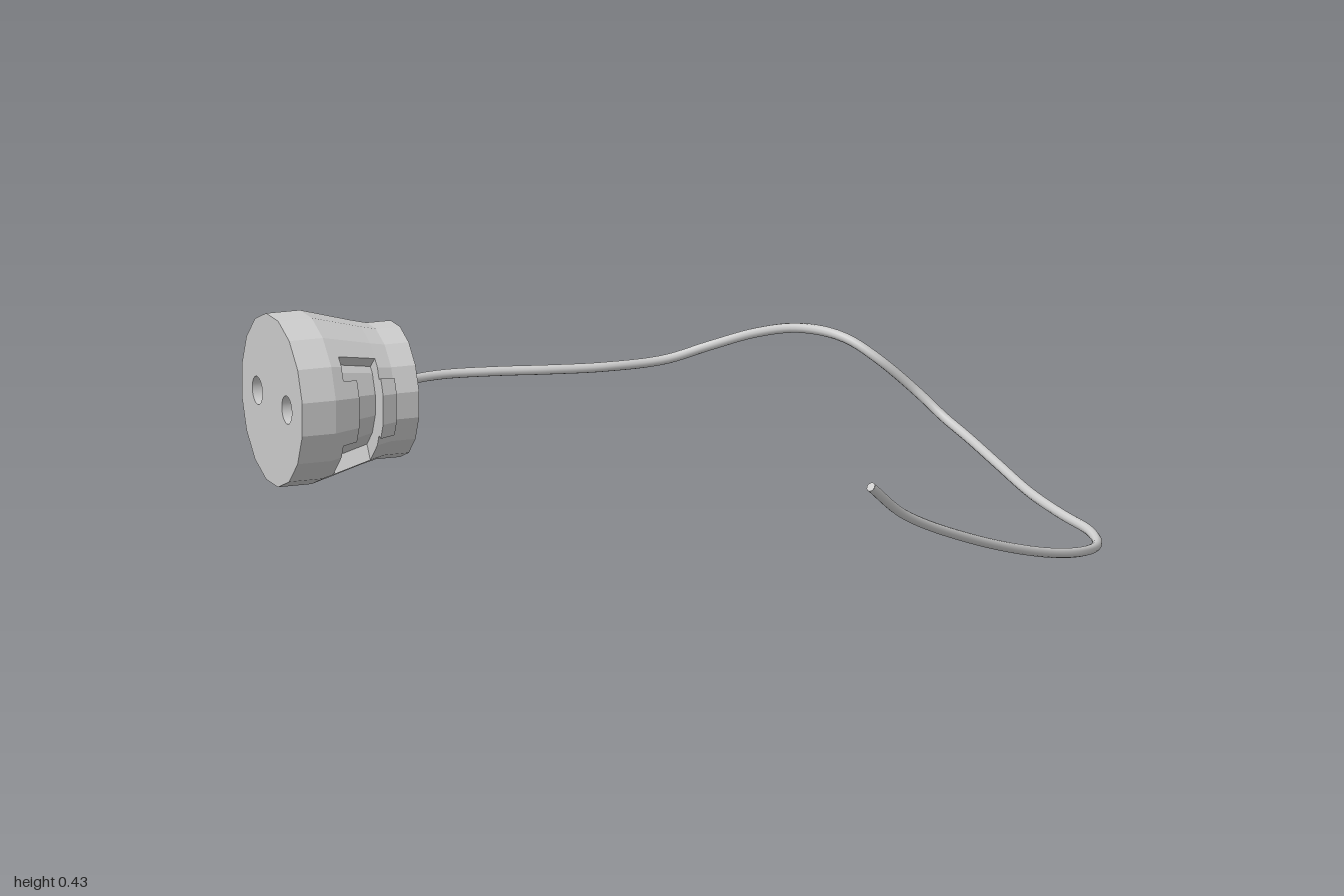
import * as THREE from 'three';

const CY = 0.216, CZ = -0.785, SIDES = 16, STEP = (Math.PI * 2) / SIDES;
const rad = THREE.MathUtils.degToRad;
const flat = new THREE.MeshStandardMaterial({ color: 0xcccccc, flatShading: true });
const smooth = new THREE.MeshStandardMaterial({ color: 0xcccccc });
const inside = new THREE.MeshStandardMaterial({ color: 0xcccccc, side: THREE.DoubleSide });

// Radius of the tapered body along x
function bodyRadius(x) {
  const t = THREE.MathUtils.clamp((x + 0.77) / 0.17, 0, 1);
  return THREE.MathUtils.lerp(0.219, 0.172, t);
}

// Keeps points between the corners on the flat sides of the polygon
function facet(a) {
  const d = THREE.MathUtils.euclideanModulo(a - STEP / 2, STEP) - STEP / 2;
  return Math.cos(STEP / 2) / Math.cos(d);
}

// Height offset of a body cell: grip recess, raised tab or plain surface
function cellOffset(x, a) {
  const e = THREE.MathUtils.radToDeg(Math.asin(Math.sin(a)));
  if (Math.abs(e) < 24) {
    if (x > -0.7 && x < -0.635) return -0.043;
    return x > -0.635 && x < -0.595 ? 0.014 : 0;
  }
  return e > -56.25 && e < 42 && x > -0.74 && x < -0.635 ? -0.043 : 0;
}

// Faceted shell: one quad per cell, with step walls between cells
function bodyGeometry() {
  const xs = [-0.86, -0.77, -0.74, -0.7, -0.635, -0.595, -0.53];
  const angles = [24, 42, 138, 156, 204, 336].map(rad);
  for (let i = 0; i < SIDES; i++) angles.push((i + 0.5) * STEP);
  angles.sort((a, b) => a - b);
  angles.push(angles[0] + Math.PI * 2);
  const n = angles.length - 1, pos = [];
  const point = (x, a, off) => {
    const r = (bodyRadius(x) + off) * facet(a);
    return [x, CY + r * Math.sin(a), CZ + r * Math.cos(a)];
  };
  const quad = (a, b, c, d) => pos.push(...a, ...b, ...c, ...a, ...c, ...d);
  const off = (i, j) => cellOffset((xs[i] + xs[i + 1]) / 2, (angles[j % n] + angles[(j % n) + 1]) / 2);
  for (let i = 0; i < xs.length - 1; i++) {
    for (let j = 0; j < n; j++) {
      const [x0, x1, a0, a1, h] = [xs[i], xs[i + 1], angles[j], angles[j + 1], off(i, j)];
      quad(point(x0, a0, h), point(x1, a0, h), point(x1, a1, h), point(x0, a1, h));
      const hx = i < xs.length - 2 ? off(i + 1, j) : h;
      if (hx !== h) quad(point(x1, a0, h), point(x1, a0, hx), point(x1, a1, hx), point(x1, a1, h));
      const ha = off(i, j + 1);
      if (ha !== h) quad(point(x0, a1, h), point(x1, a1, h), point(x1, a1, ha), point(x0, a1, ha));
    }
  }
  const g = new THREE.BufferGeometry();
  g.setAttribute('position', new THREE.Float32BufferAttribute(pos, 3));
  g.computeVertexNormals();
  return g;
}

function polygonShape(r) {
  return new THREE.Shape(Array.from({ length: SIDES }, (_, i) =>
    new THREE.Vector2(r * Math.cos((i + 0.5) * STEP), r * Math.sin((i + 0.5) * STEP))));
}

export function createModel() {
  const model = new THREE.Group();
  const add = (parent, name, geometry, material) => {
    const mesh = new THREE.Mesh(geometry, material);
    mesh.name = name;
    parent.add(mesh);
    return mesh;
  };

  const plug = new THREE.Group();
  plug.name = 'plug';
  model.add(plug);
  add(plug, 'plugBody', bodyGeometry(), flat);

  // Wide end with two round sockets
  const face = polygonShape(bodyRadius(-0.86));
  for (const s of [-1, 1]) {
    const hole = new THREE.Path();
    hole.absarc(s * 0.105, 0, 0.036, 0, Math.PI * 2, true);
    face.holes.push(hole);
    const wall = add(plug, 'socketWall', new THREE.CylinderGeometry(0.036, 0.036, 0.12, 24, 1, true), inside);
    wall.rotation.z = Math.PI / 2;
    wall.position.set(-0.8, CY, CZ + s * 0.105);
    const floor = add(plug, 'socketFloor', new THREE.CircleGeometry(0.036, 24), smooth);
    floor.rotation.y = -Math.PI / 2;
    floor.position.set(-0.74, CY, CZ + s * 0.105);
  }
  const back = add(plug, 'socketFace', new THREE.ShapeGeometry(face), flat);
  back.rotation.y = -Math.PI / 2;
  back.position.set(-0.86, CY, CZ);

  // Narrow end where the cable leaves
  const front = add(plug, 'cableFace', new THREE.ShapeGeometry(polygonShape(bodyRadius(-0.53))), flat);
  front.rotation.y = Math.PI / 2;
  front.position.set(-0.53, CY, CZ);

  // Loose cable
  const path = new THREE.CatmullRomCurve3([
    [-0.545, 0.22, -0.775], [-0.52, 0.22, -0.795], [-0.457, 0.22, -0.844], [-0.368, 0.22, -0.862],
    [-0.235, 0.22, -0.844], [-0.103, 0.22, -0.812], [0.03, 0.22, -0.79], [0.188, 0.227, -0.78],
    [0.294, 0.262, -0.743], [0.389, 0.308, -0.659], [0.463, 0.345, -0.526], [0.532, 0.342, -0.405],
    [0.595, 0.298, -0.341], [0.69, 0.21, -0.308], [0.738, 0.156, -0.257], [0.765, 0.125, -0.156],
    [0.775, 0.1, 0.029], [0.786, 0.073, 0.24], [0.812, 0.053, 0.389], [0.842, 0.036, 0.51],
    [0.823, 0.027, 0.611], [0.743, 0.037, 0.7], [0.611, 0.066, 0.77], [0.4, 0.138, 0.85],
    [0.188, 0.24, 0.929], [0.077, 0.335, 0.985],
  ].map((p) => new THREE.Vector3(...p)));
  add(model, 'cable', new THREE.TubeGeometry(path, 160, 0.0125, 10), smooth);
  const tip = add(model, 'cableTip', new THREE.CircleGeometry(0.0125, 10), smooth);
  tip.position.copy(path.getPoint(1));
  tip.lookAt(path.getPoint(1).add(path.getTangent(1)));

  return model;
}
